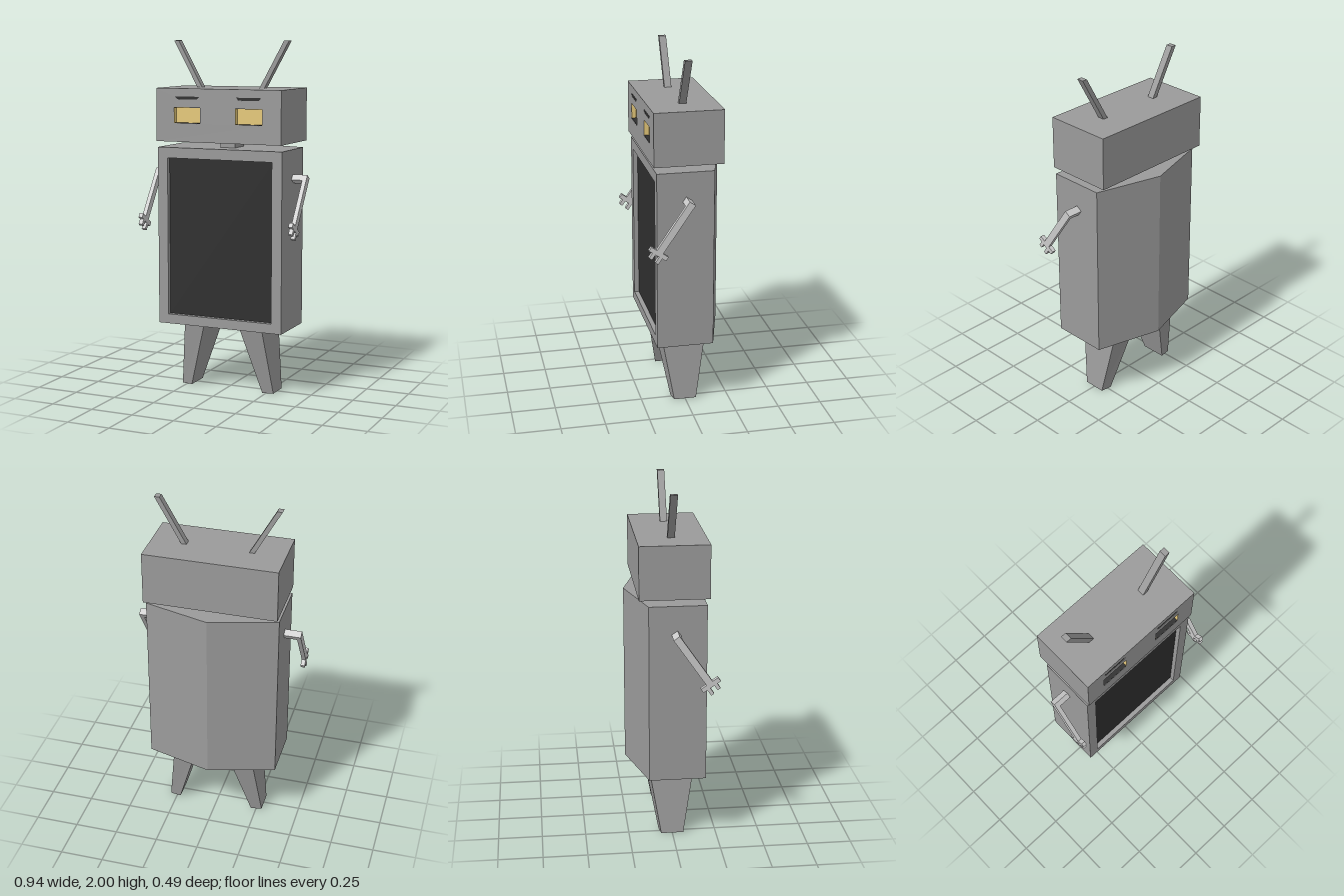
import * as THREE from 'three';

const mat = (color) => new THREE.MeshStandardMaterial({ color, flatShading: true });

export function createModel() {
  const root = new THREE.Group();
  const metal = mat(0x9b9b9b), light = mat(0xcccccc), dark = mat(0x2f2f2f), gold = mat(0xe7ca7b);
  const CX = 0.005; // centre line of head and body

  const add = (name, geo, material, parent = root) => {
    const m = new THREE.Mesh(geo, material);
    m.name = name;
    parent.add(m);
    return m;
  };
  // Box given by its limits
  const box = (name, x0, x1, y0, y1, z0, z1, material, parent) => {
    const m = add(name, new THREE.BoxGeometry(x1 - x0, y1 - y0, z1 - z0), material, parent);
    m.position.set((x0 + x1) / 2, (y0 + y1) / 2, (z0 + z1) / 2);
    return m;
  };
  const poly = (pts) => new THREE.Shape(pts.map((p) => new THREE.Vector2(...p)));
  const rect = (x0, x1, y0, y1) => [[x0, y0], [x1, y0], [x1, y1], [x0, y1]];
  const extrude = (shape, depth) => new THREE.ExtrudeGeometry(shape, { depth, bevelEnabled: false });
  // Plate with cut-outs, its front at z1
  const plate = (name, outline, holes, z0, z1) => {
    const s = poly(outline);
    holes.forEach((h) => s.holes.push(poly(h)));
    add(name, extrude(s, z1 - z0), metal).position.z = z0;
  };
  // Unit box whose corners are moved by a rule
  const shaped = (rule) => {
    const g = new THREE.BoxGeometry(1, 1, 1).toNonIndexed();
    const p = g.attributes.position;
    for (let i = 0; i < p.count; i++) p.setXYZ(i, ...rule(p.getX(i) > 0, p.getY(i) > 0, p.getZ(i) > 0));
    g.computeVertexNormals();
    return g;
  };

  // Body: prism with a ridged back, and a frame around a sunken screen
  const L = -0.375, R = 0.385;
  const core = extrude(poly([[L, -0.15], [R, -0.15], [R, 0.14], [CX, 0.248], [L, 0.14]]), 1.02);
  core.rotateX(-Math.PI / 2);
  add('body', core, metal).position.y = 0.38;
  plate('screenFrame', rect(L, R, 0.38, 1.4), [rect(-0.315, 0.325, 0.435, 1.34)], 0.15, 0.18);
  box('screen', -0.315, 0.325, 0.435, 1.34, 0.14, 0.153, dark);

  // Neck and head
  box('neck', -0.037, 0.053, 1.39, 1.445, -0.06, 0.065, metal);
  box('head', L, R, 1.435, 1.735, -0.192, 0.165, metal);
  const holes = [];
  for (const s of [-1, 1]) {
    const c = CX + s * 0.188;
    const x0 = c - 0.082, x1 = c + 0.082, y0 = 1.54, y1 = 1.63;
    const brow = [[c - 0.06, 1.674], [c + 0.06, 1.674], [c + 0.077, 1.69], [c - 0.077, 1.69]];
    holes.push(rect(x0, x1, y0, y1), brow);

    // Sunken eye: gold back and sides, dark sill and lintel
    const eye = new THREE.Group();
    eye.name = s < 0 ? 'rightEye' : 'leftEye';
    root.add(eye);
    box('eyePanel', x0, x1, y0, y1, 0.16, 0.168, gold, eye);
    box('eyeSide', x0 - 0.002, x0 + 0.002, y0, y1, 0.165, 0.194, gold, eye);
    box('eyeSide', x1 - 0.002, x1 + 0.002, y0, y1, 0.165, 0.194, gold, eye);
    box('eyeSill', x0, x1, y0 - 0.002, y0 + 0.002, 0.165, 0.194, dark, eye);
    box('eyeLintel', x0, x1, y1 - 0.002, y1 + 0.002, 0.165, 0.194, dark, eye);
    add('eyebrow', extrude(poly(brow), 0.027), dark).position.z = 0.166;

    // Slanted antenna with level ends
    add('antenna', shaped((px, py, pz) => [
      CX + s * (py ? 0.339 : 0.186) + (px ? 0.015 : -0.015), py ? 2 : 1.725, pz ? 0.02 : -0.02,
    ]), metal);

    // Tapered splayed leg, narrower on its outer face
    add('leg', shaped((px, py, pz) => {
      const outer = px === s > 0;
      const x = py ? (outer ? 0.24 : 0.11) : (outer ? 0.288 : 0.224);
      const z = py ? (outer ? 0.128 : 0.145) : (outer ? 0.064 : 0.074);
      return [CX + s * x, py ? 0.385 : 0, pz ? z : -z];
    }), metal);

    // Arm reaching forward and down, with a two-pronged hand
    const arm = new THREE.Group();
    arm.name = s < 0 ? 'rightArm' : 'leftArm';
    arm.matrix.makeBasis(
      new THREE.Vector3(0, 0.565, 0.825),
      new THREE.Vector3(0, 0.825, -0.565),
      new THREE.Vector3(-1, 0, 0),
    ).setPosition(s * 0.46, 0.978, 0.187);
    arm.matrix.decompose(arm.position, arm.quaternion, arm.scale);
    root.add(arm);
    const side = poly([
      [-0.02, 0.33], [-0.02, 0.012], [-0.057, 0.012], [-0.057, -0.014], [-0.032, -0.014],
      [-0.032, -0.052], [-0.012, -0.052], [-0.012, -0.014], [0.014, -0.014], [0.014, -0.047],
      [0.034, -0.047], [0.034, -0.014], [0.057, -0.014], [0.057, 0.012], [0.02, 0.012], [0.02, 0.33],
    ]);
    add('forearmAndHand', extrude(side, 0.024), light, arm).position.z = -0.012;
    const a = -s * 0.0115, b = s * 0.1;
    box('shoulder', -0.0199, 0.0199, 0.295, 0.3299, Math.min(a, b), Math.max(a, b), light, arm);
  }
  plate('face', rect(L, R, 1.435, 1.735), holes, 0.165, 0.195);

  return root;
}
